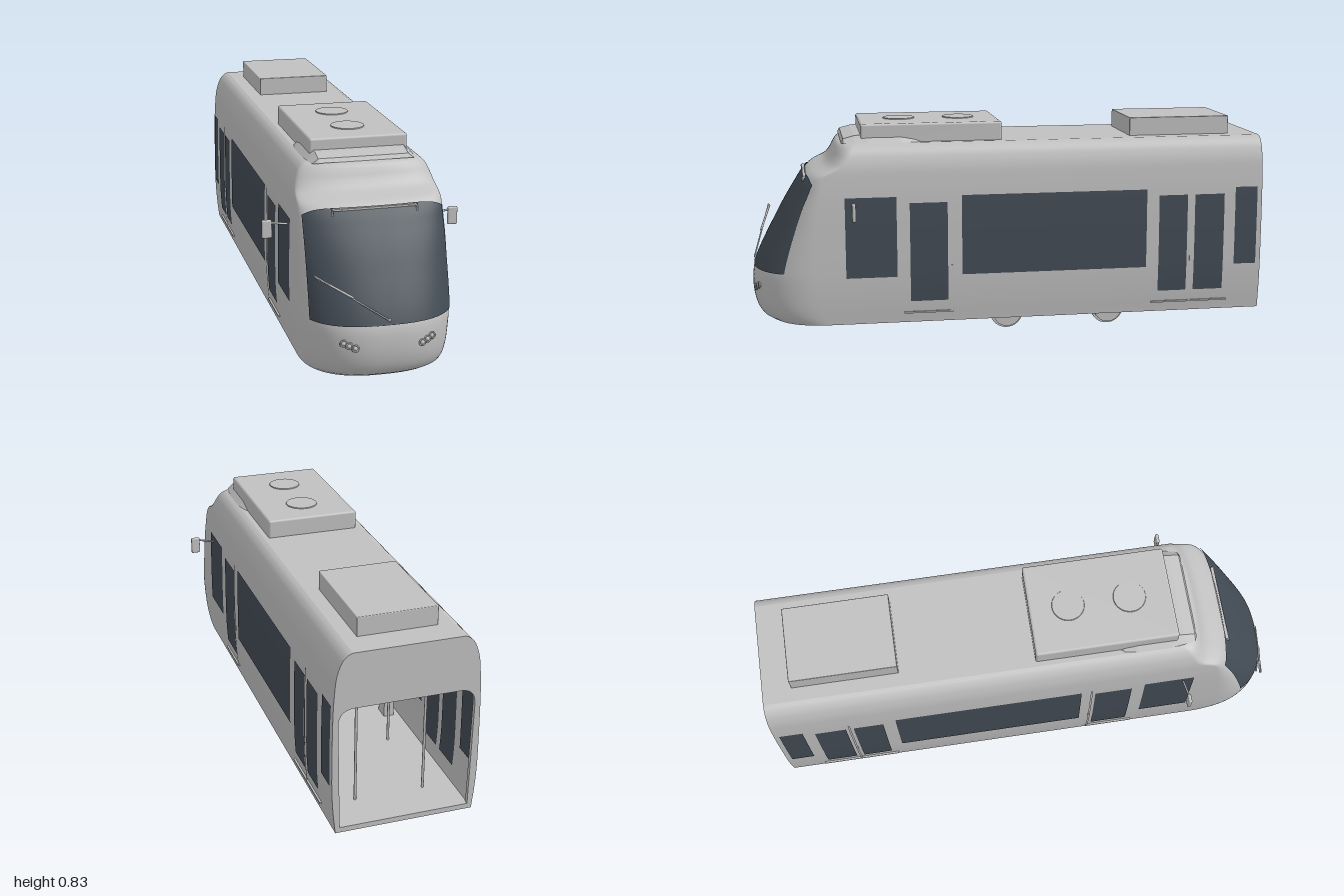
import * as THREE from 'three';
import { RoundedBoxGeometry } from 'three/addons/geometries/RoundedBoxGeometry.js';

// Body profile rows: height, half width, nose z, depth of the nose rounding
const PROFILE = [
  [0.065, 0.256, 0.935, 0.25], [0.085, 0.258, 0.968, 0.25], [0.13, 0.263, 0.991, 0.25],
  [0.2, 0.268, 1.0, 0.25], [0.27, 0.27, 0.99, 0.23], [0.45, 0.269, 0.9, 0.15],
  [0.56, 0.266, 0.835, 0.1], [0.64, 0.26, 0.775, 0.06], [0.67, 0.256, 0.718, 0.06],
  [0.7, 0.248, 0.692, 0.06], [0.73, 0.235, 0.676, 0.06], [0.75, 0.216, 0.662, 0.06],
  [0.757, 0.2, 0.645, 0.06],
];
const POWER = 2.5;

// Smooth (Hermite) lookup of one profile column at height y
function profile(y, col) {
  const P = PROFILE, last = P.length - 1;
  let i = 0;
  while (i < last - 1 && y > P[i + 1][0]) i++;
  const slope = (k) => {
    const a = P[Math.max(k - 1, 0)], b = P[Math.min(k + 1, last)];
    return (b[col] - a[col]) / (b[0] - a[0]);
  };
  const h = P[i + 1][0] - P[i][0];
  const t = THREE.MathUtils.clamp((y - P[i][0]) / h, 0, 1), t2 = t * t, t3 = t2 * t;
  return (2 * t3 - 3 * t2 + 1) * P[i][col] + (t3 - 2 * t2 + t) * h * slope(i)
    + (3 * t2 - 2 * t3) * P[i + 1][col] + (t3 - t2) * h * slope(i + 1);
}
const halfWidth = (y) => profile(y, 1);

// z of the nose surface at a given x and y
function noseZ(x, y) {
  const r = Math.min(Math.abs(x) / halfWidth(y), 1);
  const L = profile(y, 3);
  return profile(y, 2) - L + L * Math.pow(1 - Math.pow(r, POWER), 1 / POWER);
}

// Surface from a rule: fn(i, j) gives [x, y, z]
function grid(nu, nv, fn) {
  const pos = [], idx = [];
  for (let j = 0; j <= nv; j++) for (let i = 0; i <= nu; i++) pos.push(...fn(i, j));
  for (let j = 0; j < nv; j++) for (let i = 0; i < nu; i++) {
    const a = j * (nu + 1) + i, b = a + 1, c = a + nu + 1, d = c + 1;
    idx.push(a, b, d, a, d, c);
  }
  const g = new THREE.BufferGeometry();
  g.setAttribute('position', new THREE.Float32BufferAttribute(pos, 3));
  g.setIndex(idx);
  g.computeVertexNormals();
  return g;
}

export function createModel() {
  const tram = new THREE.Group();
  const body = new THREE.MeshStandardMaterial({ color: 0xc0c0c0, side: THREE.DoubleSide });
  body.name = 'light grey';
  const glass = new THREE.MeshStandardMaterial({ color: 0x424b54, side: THREE.DoubleSide });
  glass.name = 'dark glass';

  const add = (name, geo, mat = body, x = 0, y = 0, z = 0) => {
    const m = new THREE.Mesh(geo, mat);
    m.name = name;
    m.position.set(x, y, z);
    tram.add(m);
    return m;
  };
  const box = (name, w, h, d, x, y, z) => add(name, new THREE.BoxGeometry(w, h, d), body, x, y, z);
  const rod = (name, a, b, r) => {
    const p = new THREE.Vector3(...a), q = new THREE.Vector3(...b);
    const m = add(name, new THREE.CylinderGeometry(r, r, p.distanceTo(q), 10));
    m.position.copy(p).add(q).multiplyScalar(0.5);
    m.quaternion.setFromUnitVectors(new THREE.Vector3(0, 1, 0), q.sub(p).normalize());
  };

  // Shell: walls plus flat top and bottom, open at the rear
  const N = 50, ROWS = 60;
  const shell = (name, inset, y0, y1) => {
    const point = (i, y) => {
      const w = halfWidth(y) - inset, zf = profile(y, 2) - inset, L = profile(y, 3);
      if (i === 0 || i === N) return [i ? w : -w, y, -1 + inset];
      const t = -Math.PI / 2 + Math.PI * (i - 1) / (N - 2), s = Math.sin(t);
      const c = Math.max(Math.cos(t), 0);
      return [w * Math.sign(s) * Math.pow(Math.abs(s), 2 / POWER), y, zf - L + L * Math.pow(c, 2 / POWER)];
    };
    const rowY = (j) => y0 + (y1 - y0) * (1 - Math.pow(1 - j / ROWS, 1.4));
    add(name + 'Walls', grid(N, ROWS, (i, j) => point(i, rowY(j))));
    add(name + 'Top', grid(N / 2, 1, (i, j) => point(j ? N - i : i, y1)));
    add(name + 'Floor', grid(N / 2, 1, (i, j) => point(j ? i : N - i, y0)));
  };
  shell('body', 0, 0.065, 0.757);
  shell('interior', 0.015, 0.085, 0.6);

  // Rear frame with the open gangway
  const frame = new THREE.Shape(), right = [];
  for (let k = 0; k <= 40; k++) {
    const y = 0.065 + 0.692 * (1 - Math.pow(1 - k / 40, 1.4));
    right.push(new THREE.Vector2(halfWidth(y), y));
  }
  frame.setFromPoints([...right, ...right.slice().reverse().map((p) => new THREE.Vector2(-p.x, p.y))]);
  const gap = new THREE.Path();
  gap.moveTo(-0.24, 0.085).lineTo(-0.248, 0.49).quadraticCurveTo(-0.248, 0.55, -0.19, 0.55);
  gap.lineTo(0.19, 0.55).quadraticCurveTo(0.248, 0.55, 0.248, 0.49).lineTo(0.24, 0.085).closePath();
  frame.holes.push(gap);
  add('rearFrame', new THREE.ExtrudeGeometry(frame, { depth: 0.016, bevelEnabled: false }), body, 0, 0, -1);

  // Windscreen following the nose, with softened top corners
  add('windscreen', grid(48, 30, (i, j) => {
    const x = -0.25 + 0.5 * i / 48;
    const top = 0.632 - 0.022 * Math.pow(Math.abs(x) / 0.25, 8);
    const y = 0.27 + (top - 0.27) * j / 30;
    return [x * 1.012, y + 0.001, noseZ(x, y) + 0.004];
  }), glass);

  // Side panels that follow the wall curve
  const sidePatch = (name, s, y0, y1, zBack, zFront, off, mat) => add(name, grid(1, 12, (i, j) => {
    const y = y0 + (y1 - y0) * j / 12;
    return [s * (halfWidth(y) + off), y, (i === 0) === (s > 0) ? zFront : zBack];
  }), mat);
  const windows = [[0.25, 0.56, 0.45, 0.645], [0.25, 0.56, -0.53, 0.2], [0.25, 0.56, -0.98, -0.89],
    [0.15, 0.535, 0.255, 0.4], [0.15, 0.535, -0.695, -0.58], [0.15, 0.535, -0.845, -0.725]];

  for (const s of [-1, 1]) {
    for (const [y0, y1, zb, zf] of windows) {
      sidePatch('sideWindow', s, y0, y1, zb, zf, 0.002, glass);
      sidePatch('innerWindow', s, y0, y1, zb, zf, -0.018, glass);
    }
    // Door seams, handles and sills
    for (const z of [0.24, -0.71]) {
      sidePatch('doorSeam', s, 0.105, 0.57, z - 0.004, z + 0.004, 0.004, body);
      box('doorHandle', 0.008, 0.02, 0.008, s * 0.271, 0.28, z);
    }
    box('frontDoorSill', 0.012, 0.006, 0.19, s * 0.262, 0.105, 0.33);
    box('rearDoorSill', 0.012, 0.006, 0.31, s * 0.262, 0.105, -0.71);

    // Mirror on its arm
    rod('mirrorArm', [s * 0.262, 0.529, 0.605], [s * 0.335, 0.542, 0.615], 0.004);
    add('mirror', new RoundedBoxGeometry(0.037, 0.068, 0.014, 3, 0.006), body, s * 0.346, 0.519, 0.615);

    // Headlight cluster
    for (const [x, y] of [[0.157, 0.211], [0.139, 0.203], [0.119, 0.195]]) {
      const z = noseZ(x, y);
      add('headlightRing', new THREE.TorusGeometry(0.011, 0.003, 8, 20), body, s * x, y, z + 0.003);
      add('headlight', new THREE.SphereGeometry(0.009, 14, 10), body, s * x, y, z);
    }

    // Lower halves of the wheels with their flanges, and brake discs
    for (const z of [0.01, -0.4]) {
      const half = (r, t) => new THREE.CylinderGeometry(r, r, t, 24, 1, false, Math.PI, Math.PI).rotateZ(Math.PI / 2);
      add('wheel', half(0.056, 0.026), body, s * 0.172, 0.066, z);
      add('wheelFlange', half(0.066, 0.008), body, s * 0.162, 0.066, z);
      add('axleDisc', half(0.036, 0.01), body, s * 0.108, 0.066, z < -0.2 ? -0.3 : -0.09);
      box('wheelBracket', 0.05, 0.01, 0.05, s * 0.182, 0.06, z);
    }

    // Seats
    for (const z of [0.3, 0.1, -0.1, -0.3]) {
      box('seat', 0.1, 0.03, 0.1, s * 0.19, 0.19, z);
      box('seatBack', 0.1, 0.16, 0.02, s * 0.19, 0.27, z + 0.05);
      box('seatBase', 0.04, 0.1, 0.06, s * 0.2, 0.135, z);
    }
    // Grab poles and rail
    for (const z of [0.42, 0.2, -0.5, -0.85]) rod('grabPole', [s * 0.13, 0.085, z], [s * 0.13, 0.6, z], 0.005);
    rod('grabRail', [s * 0.13, 0.53, -0.85], [s * 0.13, 0.53, 0.42], 0.004);
  }

  // Axles and motors under the floor
  for (const z of [0.01, -0.4]) rod('axle', [-0.16, 0.058, z], [0.16, 0.058, z], 0.007);
  for (const z of [-0.12, -0.27]) rod('motor', [-0.095, 0.062, z], [0.066, 0.062, z], 0.02);

  // Roof units and fan covers
  add('frontRoofUnit', new RoundedBoxGeometry(0.362, 0.078, 0.545, 3, 0.009), body, 0, 0.789, 0.303);
  add('rearRoofUnit', new RoundedBoxGeometry(0.294, 0.076, 0.405, 2, 0.003), body, 0, 0.79, -0.688);
  for (const z of [0.18, 0.415]) {
    add('fanCover', new THREE.CylinderGeometry(0.061, 0.063, 0.005, 32), body, 0, 0.829, z);
  }

  // Sloped fairing around the front roof unit: z, bottom half width, top half width, top height
  const stations = [[0.65, 0.17, 0.16, 0.757], [0.642, 0.186, 0.165, 0.772], [0.6, 0.197, 0.165, 0.783],
    [0.55, 0.203, 0.167, 0.789], [0.42, 0.203, 0.167, 0.789], [0.37, 0.194, 0.167, 0.779], [0.34, 0.181, 0.167, 0.757]];
  add('roofFairing', grid(3, stations.length - 1, (i, j) => {
    const [z, wb, wt, y] = stations[j];
    return [[-wb, 0.755, z], [-wt, y, z], [wt, y, z], [wb, 0.755, z]][i];
  }).toNonIndexed()).geometry.computeVertexNormals();

  // Wiper and the bracket over the windscreen
  rod('wiperArm', [0, 0.287, 0.993], [-0.25, 0.45, 0.935], 0.003);
  rod('wiperBlade', [-0.12, 0.37, 0.966], [-0.25, 0.446, 0.932], 0.004);
  add('wiperPivot', new THREE.SphereGeometry(0.006, 12, 8), body, 0, 0.287, 0.988);
  box('bracketBar', 0.306, 0.007, 0.012, 0, 0.628, 0.791);
  for (const s of [-1, 1]) box('bracketEnd', 0.005, 0.02, 0.012, s * 0.151, 0.617, 0.794);

  return tram;
}
